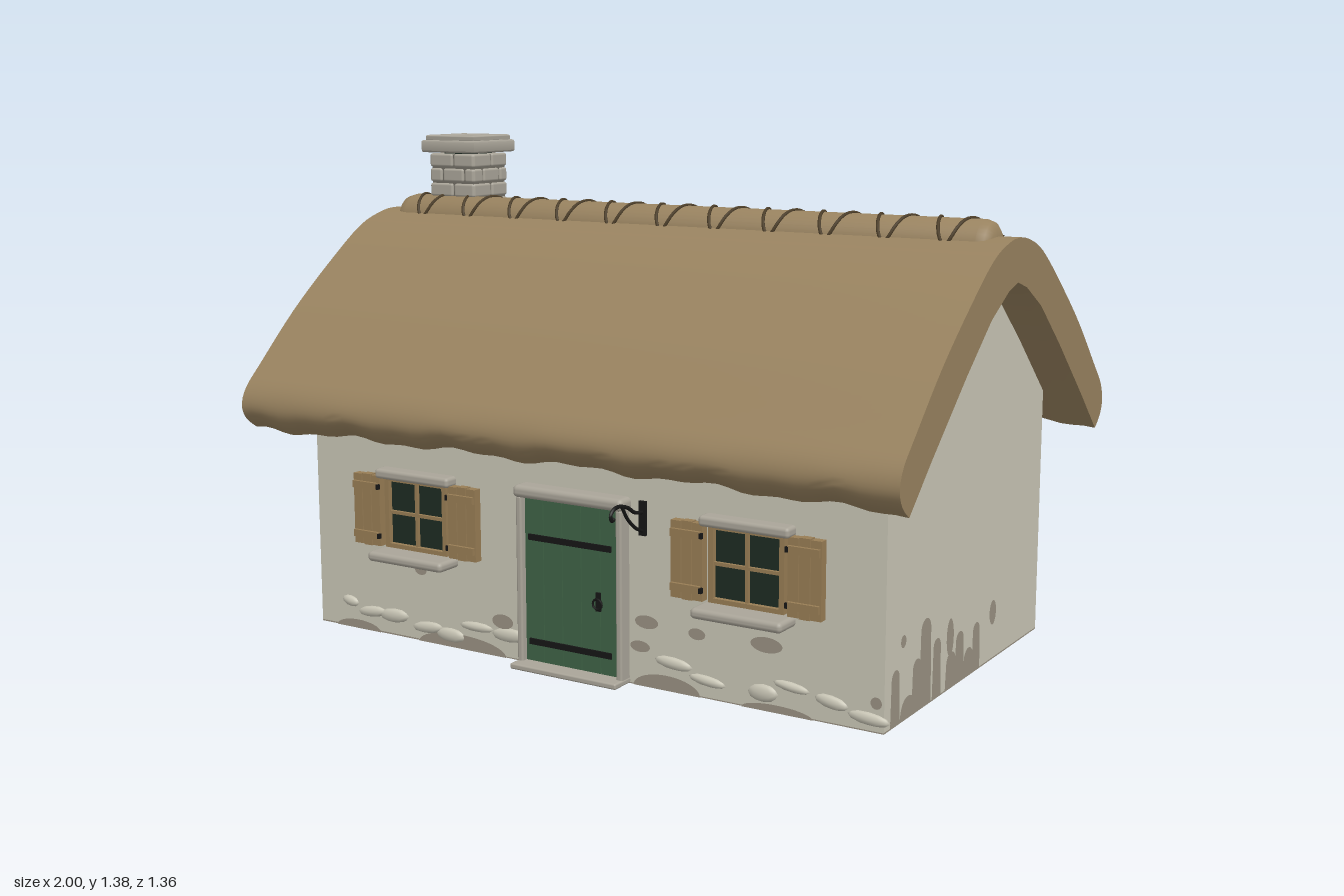
import * as THREE from 'three';
import { toCreasedNormals } from 'three/addons/utils/BufferGeometryUtils.js';
import { RoundedBoxGeometry } from 'three/addons/geometries/RoundedBoxGeometry.js';

const mat = (name, color) => {
  const m = new THREE.MeshStandardMaterial({ color });
  m.name = name;
  return m;
};
const M = {
  plaster: mat('plaster', 0xc9c6b6), dirt: mat('dirt', 0x999182), thatch: mat('thatch', 0x98825f),
  stone: mat('stone', 0xaaa599), mortar: mat('mortar', 0x726e65), wood: mat('wood', 0x987d55),
  green: mat('greenPaint', 0x3f6346), glass: mat('darkGlass', 0x1d2b23), iron: mat('iron', 0x161616),
  twine: mat('twine', 0x4d3f2a),
};

let seed = 7;
const rand = () => (seed = (seed * 16807) % 2147483647) / 2147483647;

function add(parent, name, geo, material, x = 0, y = 0, z = 0) {
  const m = new THREE.Mesh(geo, material);
  m.name = name;
  m.position.set(x, y, z);
  parent.add(m);
  return m;
}
const box = (p, name, material, w, h, d, x, y, z) =>
  add(p, name, new THREE.BoxGeometry(w, h, d), material, x, y, z);
const soft = (p, name, material, w, h, d, x, y, z, r = 0.01) =>
  add(p, name, new RoundedBoxGeometry(w, h, d, 2, r), material, x, y, z);
function group(parent, name, x = 0, y = 0, z = 0, turn = 0) {
  const g = new THREE.Group();
  g.name = name;
  g.position.set(x, y, z);
  g.rotation.y = turn;
  parent.add(g);
  return g;
}
const tube = (p, name, material, pts, r, seg = 24) => add(p, name, new THREE.TubeGeometry(
  new THREE.CatmullRomCurve3(pts.map((q) => new THREE.Vector3(...q))), seg, r, 6), material);

// Half profiles as [z, y], eave to ridge
const outer = [[0.625, 0.575], [0.662, 0.605], [0.678, 0.645], [0.66, 0.695], [0.6, 0.756],
  [0.46, 0.89], [0.31, 1.01], [0.168, 1.11], [0.07, 1.147], [0, 1.156]];
const inner = [[0.5, 0.687], [0.313, 0.85], [0.167, 0.968], [0.06, 1.027], [0, 1.044]];
const mirrored = (half) => [...half, ...half.slice(0, -1).reverse().map(([z, y]) => [-z, y])];
const v2 = (pts) => pts.map(([a, b]) => new THREE.Vector2(a, b));

function alongX(points, length, steps) {
  const geo = new THREE.ExtrudeGeometry(new THREE.Shape(points), { depth: length, steps, bevelEnabled: false });
  return geo.translate(0, 0, -length / 2).rotateY(Math.PI / 2);
}

function buildRoof(root) {
  const top = new THREE.SplineCurve(v2(mirrored(outer))).getPoints(72);
  const geo = alongX([...top, ...v2(mirrored(inner)).reverse()], 2, 60);
  // Gentle waves along the eaves, fading out up the slope
  const p = geo.attributes.position;
  for (let i = 0; i < p.count; i++) {
    const x = p.getX(i), y = p.getY(i);
    const k = Math.max(0, 1 - (y - 0.57) / 0.12);
    const wave = 0.006 * Math.sin(x * 17) + 0.004 * Math.sin(x * 39 + 1) + 0.012 * (1 - x * x);
    p.setY(i, y + Math.min(1, k) * wave);
  }
  add(root, 'thatchRoof', toCreasedNormals(geo, 0.6), M.thatch);

  // Ridge roll with its lacing
  const roll = new THREE.LatheGeometry(v2([[0, -0.95], [0.045, -0.948], [0.064, -0.935], [0.071, -0.91],
    [0.071, 0.91], [0.064, 0.93], [0.045, 0.943], [0, 0.945]]), 32).rotateZ(-Math.PI / 2);
  add(root, 'ridgeRoll', toCreasedNormals(roll, 0.7), M.thatch, 0, 1.128, 0);
  const lace = [];
  for (let i = 0; i <= 176; i++) {
    const x = -0.93 + (1.86 * i) / 176;
    const a = -1.45 * Math.cos((2 * Math.PI * (x + 0.59)) / 0.167);
    lace.push([x, 1.128 + 0.073 * Math.cos(a), 0.073 * Math.sin(a)]);
  }
  tube(root, 'ridgeLacing', M.twine, lace, 0.0045, 400);
}

function buildChimney(root) {
  const g = group(root, 'chimney', -0.77, 0, -0.065);
  box(g, 'mortarCore', M.mortar, 0.152, 0.34, 0.152, 0, 1.15, 0);
  for (let row = 0; row < 7; row++) {
    const y = 1.302 - row * 0.0435;
    const cuts = row % 2 ? [-0.083, -0.035, 0.045, 0.083] : [-0.083, 0.005, 0.083];
    for (let side = 0; side < 4; side++) {
      const face = group(g, 'brickCourse', 0, 0, 0, (side * Math.PI) / 2);
      for (let i = 0; i + 1 < cuts.length; i++) {
        const w = cuts[i + 1] - cuts[i];
        soft(face, 'brick', M.stone, w - 0.005, 0.039, 0.03, (cuts[i] + cuts[i + 1]) / 2, y, 0.068, 0.007);
      }
    }
  }
  // Hollow cap slabs
  for (const [half, y, h] of [[0.092, 1.33, 0.026], [0.083, 1.362, 0.009]]) {
    const s = new THREE.Shape(v2([[-half, -half], [half, -half], [half, half], [-half, half]]));
    s.holes.push(new THREE.Path(v2([[-0.046, -0.046], [-0.046, 0.046], [0.046, 0.046], [0.046, -0.046]])));
    const geo = new THREE.ExtrudeGeometry(s, { depth: h, bevelSize: 0.006, bevelThickness: 0.005, bevelSegments: 3 });
    add(g, 'chimneyCap', toCreasedNormals(geo.rotateX(-Math.PI / 2), 0.7), M.stone, 0, y, 0);
  }
  box(g, 'flue', M.glass, 0.1, 0.01, 0.1, 0, 1.325, 0);
}

function buildWindow(face, x) {
  const g = group(face, 'window', x, 0.36, 0);
  box(g, 'pane', M.glass, 0.2, 0.2, 0.008, 0, 0, 0.003);
  for (const s of [-1, 1]) {
    box(g, 'frameSide', M.wood, 0.014, 0.2, 0.022, s * 0.1, 0, 0.01);
    box(g, 'frameRail', M.wood, 0.2, 0.012, 0.022, 0, s * 0.094, 0.01);
    // Plank shutter with battens
    const shutter = group(g, 'shutter', s * 0.166, 0, 0);
    for (let i = -1; i <= 1; i++) {
      box(shutter, 'shutterPlank', M.wood, 0.029, 0.203 - 0.004 * Math.abs(i), 0.024, i * 0.0315, 0, 0.016);
    }
    box(shutter, 'shutterBacking', M.twine, 0.09, 0.195, 0.016, 0, 0, 0.014);
    for (const y of [-0.07, 0.07]) {
      box(shutter, 'shutterBatten', M.wood, 0.086, 0.02, 0.01, 0, y, 0.032);
      box(shutter, 'hinge', M.iron, 0.008, 0.014, 0.01, -s * 0.045, y, 0.033);
    }
  }
  box(g, 'glazingBarUpright', M.wood, 0.009, 0.19, 0.016, 0, 0, 0.008);
  box(g, 'glazingBarCross', M.wood, 0.19, 0.009, 0.016, 0, 0, 0.008);
  soft(g, 'lintel', M.stone, 0.255, 0.028, 0.06, 0, 0.109, 0.01);
  soft(g, 'sill', M.stone, 0.258, 0.028, 0.1, 0, -0.118, 0.028, 0.012);
}

function buildDoor(face) {
  const g = group(face, 'door');
  box(g, 'doorBacking', M.glass, 0.3, 0.455, 0.01, 0, 0.235, 0.006);
  for (let i = 0; i < 5; i++) {
    box(g, 'doorPlank', M.green, 0.0575, 0.455, 0.02, (i - 2) * 0.0597, 0.235, 0.01);
  }
  for (const s of [-1, 1]) soft(g, 'doorJamb', M.stone, 0.018, 0.46, 0.05, s * 0.157, 0.235, 0.014, 0.006);
  soft(g, 'doorLintel', M.stone, 0.345, 0.034, 0.065, 0, 0.478, 0.014, 0.014);
  soft(g, 'doorStep', M.stone, 0.335, 0.016, 0.09, 0, 0.008, 0.026, 0.005);
  for (const y of [0.07, 0.355]) box(g, 'strapHinge', M.iron, 0.26, 0.016, 0.006, -0.005, y, 0.022);
  box(g, 'latchPlate', M.iron, 0.014, 0.05, 0.006, 0.085, 0.21, 0.022);
  add(g, 'doorRing', new THREE.TorusGeometry(0.014, 0.003, 6, 16), M.iron, 0.085, 0.205, 0.028);
}

function buildBracket(face) {
  const g = group(face, 'lanternBracket', 0.21, 0, 0);
  box(g, 'bracketPlate', M.iron, 0.02, 0.09, 0.008, 0, 0.445, 0.004);
  tube(g, 'bracketArm', M.iron, [[0, 0.46, 0], [0, 0.467, 0.04], [0, 0.487, 0.075], [0, 0.497, 0.11],
    [0, 0.494, 0.138], [0, 0.48, 0.151], [0, 0.467, 0.145], [0, 0.47, 0.136]], 0.005, 40);
  tube(g, 'bracketBrace', M.iron, [[0, 0.41, 0], [0, 0.425, 0.035], [0, 0.458, 0.075], [0, 0.494, 0.1]], 0.0045);
}

// Damp patches as [x, bottom, width, top]; round ended except at the ground
function buildStains(face, list) {
  for (const [x, y0, w, y1] of list) {
    const s = new THREE.Shape();
    const m = (y0 + y1) / 2, ry = (y1 - y0) / 2;
    if (y0 > 0) s.absellipse(0, m, w / 2, ry, 0, Math.PI * 2);
    else {
      const r = Math.min(w / 2, y1);
      s.moveTo(-w * 0.6, 0.003).lineTo(w * 0.6, 0.003).lineTo(w / 2, y1 - r);
      s.absellipse(0, y1 - r, w / 2, r, 0, Math.PI);
      s.lineTo(-w * 0.6, 0.003);
    }
    add(face, 'dampPatch', new THREE.ShapeGeometry(s, 14), M.dirt, x, 0, 0.003);
  }
}

// Lumps of loose plaster along the foot of a wall
function buildLumps(face, spots) {
  for (const x of spots) {
    const w = 0.03 + 0.03 * rand();
    const m = add(face, 'plasterLump', new THREE.IcosahedronGeometry(1, 1), M.plaster, x, 0.03 + 0.05 * rand(), 0);
    m.scale.set(w, 0.012 + 0.012 * rand(), 0.012);
    m.rotation.z = (rand() - 0.5) * 0.5;
  }
}

export function createModel() {
  const root = new THREE.Group();
  root.name = 'cottage';

  // Plastered walls with gables, tucked just under the thatch
  const gable = mirrored(inner).map(([z, y]) => [z, y + 0.012]);
  add(root, 'walls', alongX(v2([[-0.5, 0.003], [0.5, 0.003], ...gable]), 1.78, 1), M.plaster);
  box(root, 'floor', M.dirt, 1.78, 0.004, 1, 0, 0.002, 0);

  buildRoof(root);
  buildChimney(root);

  const front = group(root, 'frontWall', 0, 0, 0.5);
  for (const x of [-0.52, 0.52]) buildWindow(front, x);
  buildDoor(front);
  buildBracket(front);
  buildStains(front, [[-0.38, 0, 0.3, 0.04], [-0.24, 0.08, 0.07, 0.12], [-0.52, 0.19, 0.04, 0.215],
    [0.22, 0.155, 0.07, 0.19], [0.37, 0.15, 0.05, 0.18], [0.57, 0.15, 0.09, 0.19], [0.28, 0, 0.2, 0.04],
    [-0.75, 0, 0.16, 0.025], [0.2, 0.09, 0.06, 0.12], [0.6, 0, 0.2, 0.02], [0.87, 0.06, 0.03, 0.09]]);
  buildLumps(front, [-0.78, -0.7, -0.62, -0.5, -0.42, -0.33, -0.22, 0.3, 0.4, 0.56, 0.64, 0.75, 0.85]);

  const back = group(root, 'backWall', 0, 0, -0.5, Math.PI);
  buildWindow(back, -0.06);
  buildStains(back, [[-0.5, 0.52, 0.05, 0.56], [0.2, 0.5, 0.05, 0.55], [0.34, 0.46, 0.05, 0.5],
    [-0.3, 0, 0.22, 0.04], [0.2, 0, 0.26, 0.04], [0.62, 0, 0.2, 0.05], [0.45, 0.12, 0.06, 0.16]]);
  buildLumps(back, [-0.8, -0.66, -0.54, -0.4, -0.28, -0.14, 0, 0.1, 0.24, 0.36, 0.5, 0.62, 0.74, 0.83]);

  for (const s of [1, -1]) {
    const side = group(root, s > 0 ? 'leftGable' : 'rightGable', s * 0.89, 0, 0, (s * Math.PI) / 2);
    buildStains(side, [[-0.445, 0, 0.045, 0.145], [-0.37, 0, 0.09, 0.06], [-0.32, 0, 0.05, 0.14],
      [-0.27, 0, 0.06, 0.23], [-0.2, 0, 0.045, 0.16], [-0.118, 0.09, 0.045, 0.19], [-0.11, 0, 0.06, 0.1],
      [-0.055, 0, 0.05, 0.14], [0.005, 0, 0.06, 0.08], [0.055, 0, 0.045, 0.135],
      [0.167, 0.1, 0.045, 0.168], [-0.403, 0.19, 0.03, 0.222]]);
  }
  return root;
}
